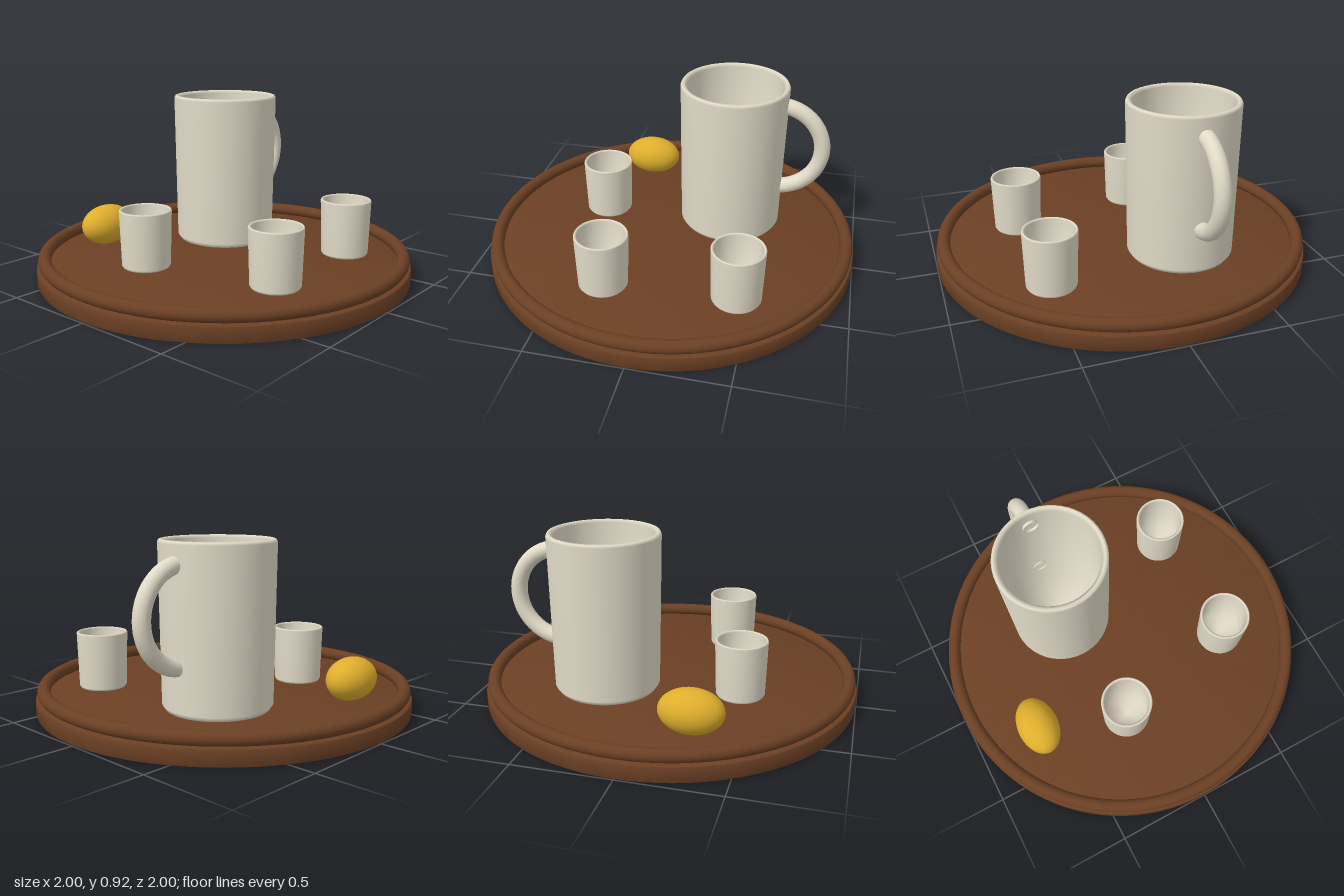
import * as THREE from 'three';
import { toCreasedNormals } from 'three/addons/utils/BufferGeometryUtils.js';

const wood = new THREE.MeshStandardMaterial({ color: 0x6b4024 });
wood.name = 'brown wood';
const ceramic = new THREE.MeshStandardMaterial({ color: 0xe2dbc8, side: THREE.DoubleSide });
ceramic.name = 'cream ceramic';
const peel = new THREE.MeshStandardMaterial({ color: 0xdfae2c });
peel.name = 'lemon yellow';

const FLOOR = 0.085; // top of the tray board

function lathe(points, segments) {
  return new THREE.LatheGeometry(points.map(([r, y]) => new THREE.Vector2(r, y)), segments);
}

function add(parent, name, geometry, material, x = 0, y = 0, z = 0) {
  const mesh = new THREE.Mesh(geometry, material);
  mesh.name = name;
  mesh.position.set(x, y, z);
  parent.add(mesh);
  return mesh;
}

// Open vessel: outer wall up, rounded lip, inner wall down to the inside floor
function vessel(top, bottom, height, wall) {
  const c = wall * 0.45;
  return lathe([
    [0, 0], [bottom - c, 0], [bottom, c * 1.5],
    [top, height - c], [top - c * 0.4, height - c * 0.2], [top - wall * 0.5, height],
    [top - wall, height - c],
    [bottom - wall, wall * 1.3], [0, wall],
  ], 48);
}

export function createModel() {
  const model = new THREE.Group();
  model.name = 'drinksTray';

  // Round tray: board with eased edges, and a raised ring
  const tray = new THREE.Group();
  tray.name = 'tray';
  model.add(tray);
  const board = lathe([
    [0, 0], [0.99, 0], [0.997, 0.003], [1, 0.01],
    [1, FLOOR - 0.01], [0.997, FLOOR - 0.003], [0.99, FLOOR], [0, FLOOR],
  ], 96);
  add(tray, 'trayBoard', toCreasedNormals(board, 0.6), wood);
  const ring = new THREE.TorusGeometry(0.957, 0.034, 16, 96).rotateX(Math.PI / 2);
  add(tray, 'trayRim', ring, wood, 0, 0.117, 0);

  // Pitcher with a half-ring handle on its left
  const pitcher = new THREE.Group();
  pitcher.name = 'pitcher';
  pitcher.position.set(0.29, FLOOR, -0.235);
  model.add(pitcher);
  add(pitcher, 'pitcherBody', vessel(0.29, 0.277, 0.836, 0.035), ceramic);
  const handle = new THREE.TorusGeometry(0.245, 0.043, 16, 40, Math.PI).rotateZ(-Math.PI / 2);
  add(pitcher, 'pitcherHandle', handle, ceramic, 0.238, 0.485, 0);

  // Three small cups
  const cup = vessel(0.136, 0.127, 0.306, 0.017);
  [[-0.415, -0.18], [-0.24, 0.525], [0.44, 0.495]].forEach(([x, z], i) => {
    add(model, 'cup' + (i + 1), cup, ceramic, x, FLOOR, z);
  });

  // Lemon lying on the tray
  const lemon = new THREE.SphereGeometry(0.111, 32, 24).rotateZ(Math.PI / 2).scale(1.46, 1, 1);
  add(model, 'lemon', lemon, peel, -0.265, 0.198, -0.648);

  return model;
}
